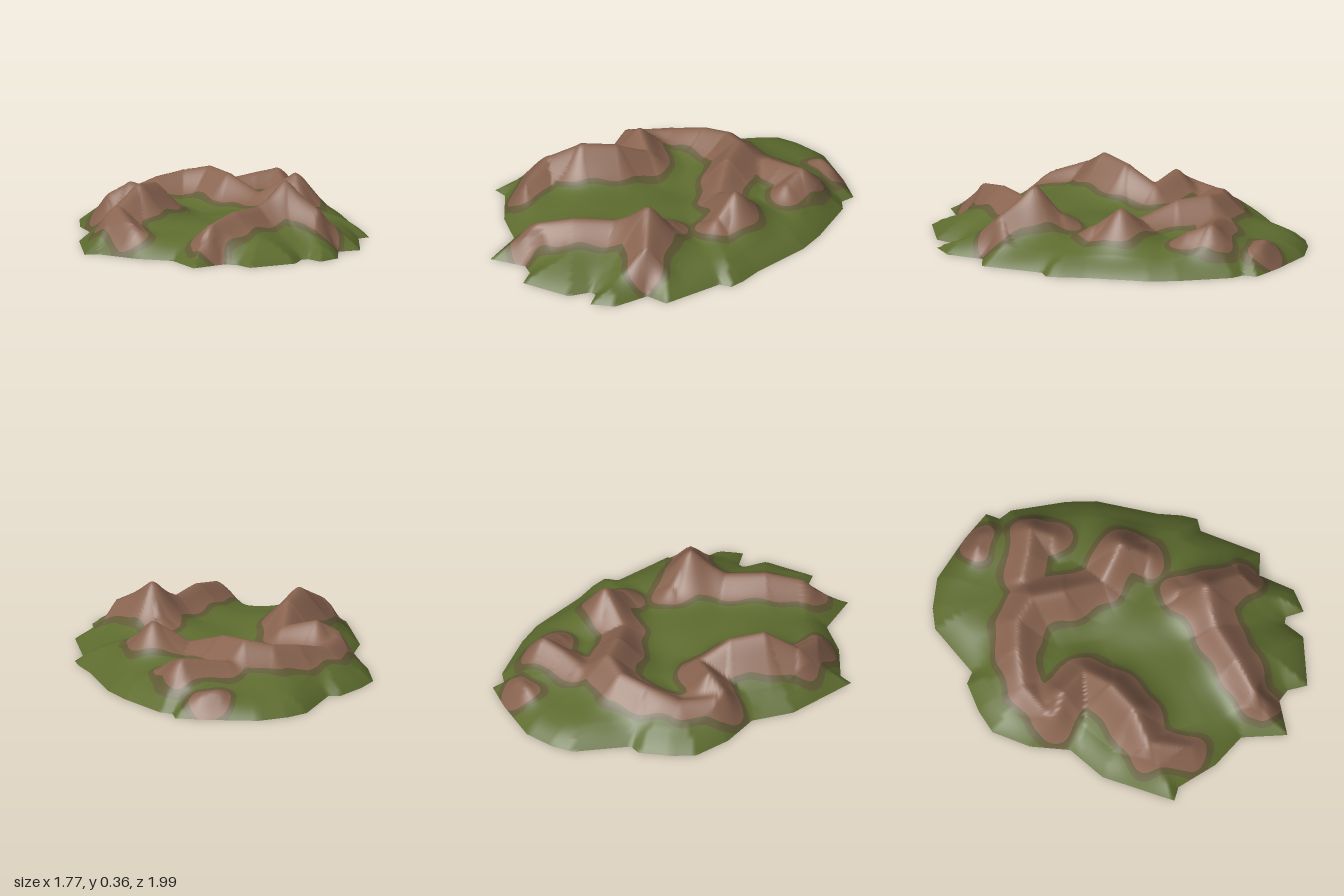
import * as THREE from 'three';

const mat = (name, color) => Object.assign(new THREE.MeshStandardMaterial({ color }), { name });

// Ragged shoreline, x and z
const SHORE = [
  [.885, -.21], [.87, -.05], [.76, .27], [.735, .4], [.705, .48], [.635, .49], [.47, .795], [.345, .775], [.24, .95],
  [.11, .99], [.09, .89], [.055, .88], [-.035, .97], [-.315, .96], [-.33, .85], [-.385, .8], [-.585, .82], [-.57, .57],
  [-.71, .415], [-.815, .2], [-.89, .17], [-.71, -.2], [-.535, -.355], [-.49, -.57], [-.385, -.76], [-.26, -.82],
  [-.09, -.865], [-.03, -.83], [.24, -1], [.36, -1], [.53, -.955], [.74, -.78], [.865, -.65], [.83, -.58], [.87, -.515],
];

// Crest lines: x, z, height
const RIDGES = [
  [[-.66, .29, .16], [-.62, .06, .23], [-.45, 0, .325], [-.3, -.1, .305], [-.17, -.24, .22], [-.29, -.37, .265], [-.4, -.42, .2]],
  [[-.36, -.47, .18], [-.2, -.57, .18], [0, -.58, .235], [.15, -.56, .26], [.26, -.47, .285], [.28, -.3, .27],
    [.34, -.08, .19], [.5, .04, .305], [.46, .18, .2]],
  [[.42, -.5, .2], [.54, -.46, .225], [.66, -.43, .245], [.63, -.32, .2]],
  [[.64, -.73, .14], [.71, -.7, .14]],
  [[.24, .33, .2], [.19, .47, .335], [.28, .67, .22]],
  [[.19, .47, .32], [0, .5, .235], [-.2, .59, .24], [-.38, .66, .2], [-.42, .72, .15]],
];

// Tall crests are broader than low ones
const halfWidth = (top) => .03 + .32 * top;

// Distance from a point to a segment, and how far along it
function segment(x, z, a, b) {
  const dx = b[0] - a[0], dz = b[1] - a[1];
  const t = THREE.MathUtils.clamp(((x - a[0]) * dx + (z - a[1]) * dz) / (dx * dx + dz * dz), 0, 1);
  return [Math.hypot(x - a[0] - t * dx, z - a[1] - t * dz), t];
}

// Signed distance to the shore, positive inland
function inland(x, z) {
  let d = Infinity, inside = false;
  SHORE.forEach((a, i) => {
    const b = SHORE[(i + 1) % SHORE.length];
    d = Math.min(d, segment(x, z, a, b)[0]);
    if ((a[1] > z) !== (b[1] > z) && x < a[0] + (z - a[1]) / (b[1] - a[1]) * (b[0] - a[0])) inside = !inside;
  });
  return inside ? d : -d;
}

// Low plateau falling to the shore, with the ridges blended on top;
// also gives the distance into the bare rock along the crests
function terrain(x, z) {
  const d = Math.max(inland(x, z), -.03);
  const rim = THREE.MathUtils.clamp(d / .12, 0, 1);
  const ripple = .009 * Math.sin(11 * x + 4 * z) * Math.sin(9 * z - 5 * x + 1);
  const valley = .035 * Math.exp(-((x - .02) ** 2 + (z + .2) ** 2) / .04);
  const base = .125 * (1 - Math.exp(-d / .12)) + ripple * rim - valley;
  let sum = 0, rock = -1;
  for (const ridge of RIDGES) {
    let best = 0;
    for (let i = 0; i < ridge.length - 1; i++) {
      const [a, b] = [ridge[i], ridge[i + 1]];
      const [r, t] = segment(x, z, a, b);
      const top = THREE.MathUtils.lerp(a[2], b[2], t), w = halfWidth(top);
      best = Math.max(best, (top - base) * Math.exp(-((r / w) ** 1.6)));
      rock = Math.max(rock, 1.08 * w - r);
    }
    sum += best ** 5;
  }
  rock += .018 * Math.sin(19 * x + 7 * z) * Math.sin(17 * z - 6 * x);
  return { y: base + rim * sum ** .2, rock };
}

// Vertex record: position, normal, distance into the rock
function vertex(x, z, onShore) {
  const e = .006;
  const { y, rock } = terrain(x, z);
  const n = new THREE.Vector3(terrain(x - e, z).y - terrain(x + e, z).y, 2 * e, terrain(x, z - e).y - terrain(x, z + e).y);
  n.normalize();
  return [x, onShore ? 0 : Math.max(.001, y), z, n.x, n.y, n.z, rock];
}

// Part of a convex polygon on one side of a rock-distance level
function clip(poly, level, side) {
  const out = [];
  poly.forEach((a, i) => {
    const b = poly[(i + 1) % poly.length];
    const da = (a[6] - level) * side, db = (b[6] - level) * side;
    if (da >= 0) out.push(a);
    if (da * db < 0) out.push(a.map((v, k) => v + (b[k] - v) * da / (da - db)));
  });
  return out;
}

function surface(name, material, polys) {
  const pos = [], nor = [];
  for (const p of polys) {
    for (let i = 1; i < p.length - 1; i++) {
      for (const v of [p[0], p[i], p[i + 1]]) {
        pos.push(v[0], v[1], v[2]);
        nor.push(v[3], v[4], v[5]);
      }
    }
  }
  const g = new THREE.BufferGeometry();
  g.setAttribute('position', new THREE.Float32BufferAttribute(pos, 3));
  g.setAttribute('normal', new THREE.Float32BufferAttribute(nor, 3));
  const mesh = new THREE.Mesh(g, material);
  mesh.name = name;
  return mesh;
}

export function createModel() {
  const group = new THREE.Group();
  group.name = 'mountainIsland';

  // Rays run from the middle to evenly spaced shore points
  const rim = [];
  SHORE.forEach((a, i) => {
    const b = SHORE[(i + 1) % SHORE.length];
    const n = Math.ceil(Math.hypot(b[0] - a[0], b[1] - a[1]) / .03);
    for (let k = 0; k < n; k++) rim.push([a[0] + (b[0] - a[0]) * k / n, a[1] + (b[1] - a[1]) * k / n]);
  });
  const RINGS = 64;
  const grid = rim.map(([x, z]) => Array.from({ length: RINGS + 1 }, (_, j) => vertex(x * j / RINGS, z * j / RINGS, j === RINGS)));

  // Terrain, cut into grass, scrub border and rock
  const grass = [], scrub = [], rock = [], underside = [];
  const down = (v) => [v[0], 0, v[2], 0, -1, 0];
  grid.forEach((a, i) => {
    const b = grid[(i + 1) % grid.length];
    for (let j = 0; j < RINGS; j++) {
      const tris = [[a[j], b[j + 1], a[j + 1]]];
      if (j > 0) tris.push([a[j], b[j], b[j + 1]]);
      for (const t of tris) {
        grass.push(clip(t, -.035, -1));
        scrub.push(clip(clip(t, -.035, 1), 0, -1));
        rock.push(clip(t, 0, 1));
      }
    }
    underside.push([down(a[0]), down(a[RINGS]), down(b[RINGS])]);
  });
  group.add(
    surface('grass', mat('grass green', 0x5e6c2f), grass),
    surface('scrubBorder', mat('scrub olive', 0x615a36), scrub),
    surface('rockRidges', mat('rock brown', 0x88634f), rock),
    surface('underside', mat('dark earth', 0x1e170a), underside),
  );
  return group;
}
